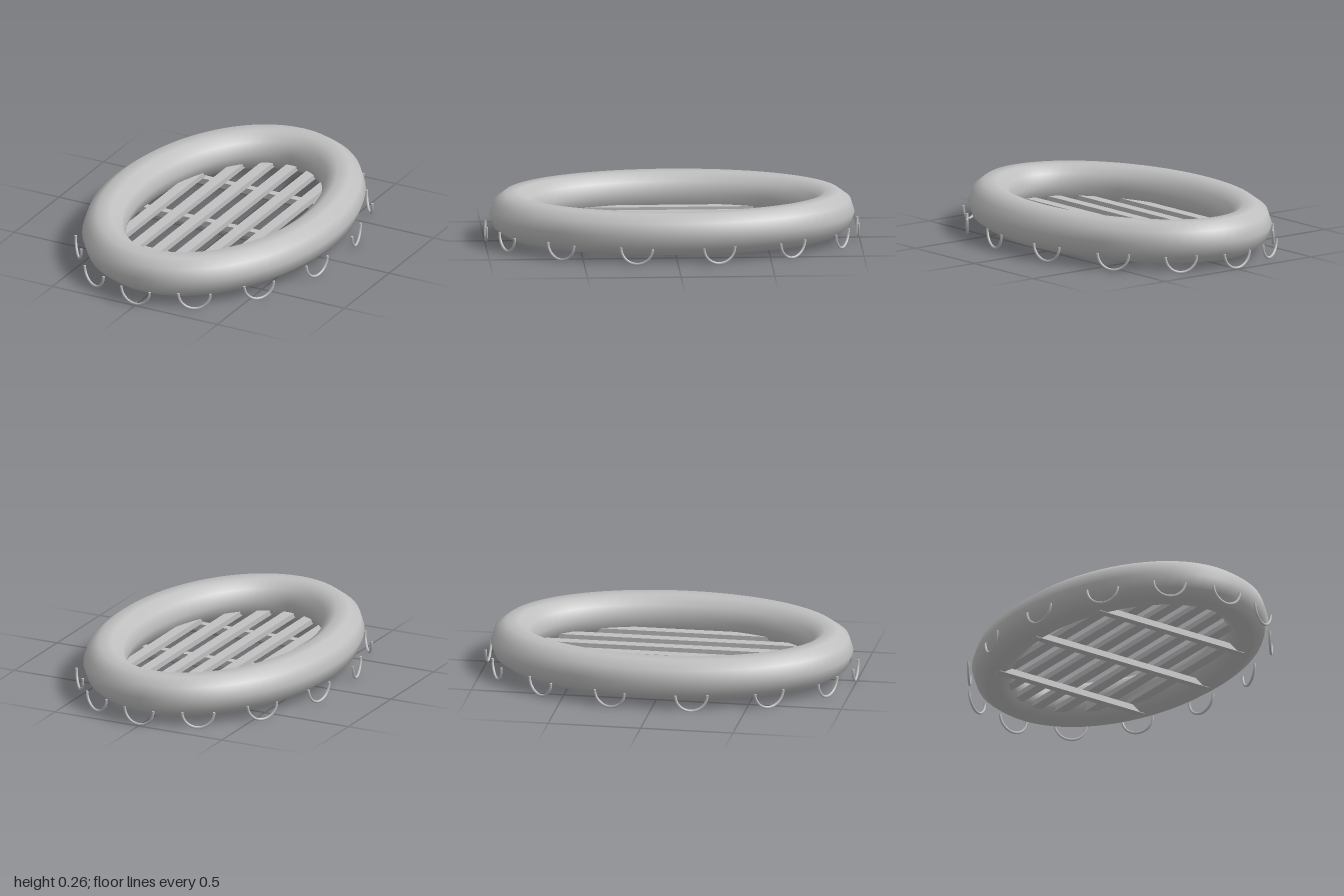
import * as THREE from 'three';

const RX = 0.56, RZ = 0.8575;   // centre line of the ring
const TUBE = 0.117, RING_Y = 0.15;

// Elliptical ring: a ten-sided section swept along the ellipse normal
function ringGeometry(segments = 72, sides = 10) {
  const geo = new THREE.TorusGeometry(1, 0.1, sides, segments);
  const pos = geo.attributes.position;
  for (let j = 0, i = 0; j <= sides; j++) {
    const v = (j / sides) * Math.PI * 2;
    for (let k = 0; k <= segments; k++, i++) {
      const u = (k / segments) * Math.PI * 2;
      const n = new THREE.Vector2(Math.cos(u) * RZ, Math.sin(u) * RX).normalize();
      const out = TUBE * Math.cos(v);
      pos.setXYZ(i,
        RX * Math.cos(u) + n.x * out,
        RING_Y + TUBE * Math.sin(v),
        -(RZ * Math.sin(u) + n.y * out));
    }
  }
  geo.computeVertexNormals();
  // Share normals across both seams
  const nor = geo.attributes.normal;
  const row = segments + 1;
  const weld = (a, b) => {
    const n = new THREE.Vector3().fromBufferAttribute(nor, a)
      .add(new THREE.Vector3().fromBufferAttribute(nor, b)).normalize();
    nor.setXYZ(a, n.x, n.y, n.z);
    nor.setXYZ(b, n.x, n.y, n.z);
  };
  for (let k = 0; k <= segments; k++) weld(k, sides * row + k);
  for (let j = 0; j <= sides; j++) weld(j * row, j * row + segments);
  return geo;
}

export function createModel() {
  const model = new THREE.Group();
  model.name = 'floatRaft';
  const grey = new THREE.MeshStandardMaterial({ color: 0xc0c0c0 });
  grey.name = 'grey';

  const add = (name, geometry, x = 0, y = 0, z = 0) => {
    const mesh = new THREE.Mesh(geometry, grey);
    mesh.name = name;
    mesh.position.set(x, y, z);
    model.add(mesh);
    return mesh;
  };

  add('floatRing', ringGeometry());

  // Floor slats running lengthwise, ending inside the ring
  for (let i = -3; i <= 3; i++) {
    const x = i * 0.1325;
    const half = RZ * Math.sqrt(1 - (x / RX) ** 2);
    add('floorSlat', new THREE.BoxGeometry(0.06, 0.03, half * 2), x, 0.085, 0);
  }

  // Cross bars under the slats
  for (const z of [-0.465, 0, 0.465]) {
    const half = RX * Math.sqrt(1 - (z / RZ) ** 2);
    add('crossBar', new THREE.BoxGeometry(half * 2, 0.034, 0.042), 0, 0.053, z);
  }

  // Hanging rope loops around the outside
  const loop = new THREE.TorusGeometry(0.0855, 0.007, 8, 20, Math.PI);
  loop.rotateZ(Math.PI);
  const cap = new THREE.CircleGeometry(0.007, 8).rotateX(-Math.PI / 2);
  const COUNT = 14;
  for (let i = 0; i < COUNT; i++) {
    const t = (i / COUNT) * Math.PI * 2;
    const rope = add('ropeLoop', loop, 0.7 * Math.sin(t), 0.095, 0.993 * Math.cos(t));
    rope.rotation.y = t;
    for (const side of [-1, 1]) {
      const end = new THREE.Mesh(cap, grey);
      end.name = 'ropeEnd';
      end.position.x = side * 0.0855;
      rope.add(end);
    }
  }
  return model;
}
